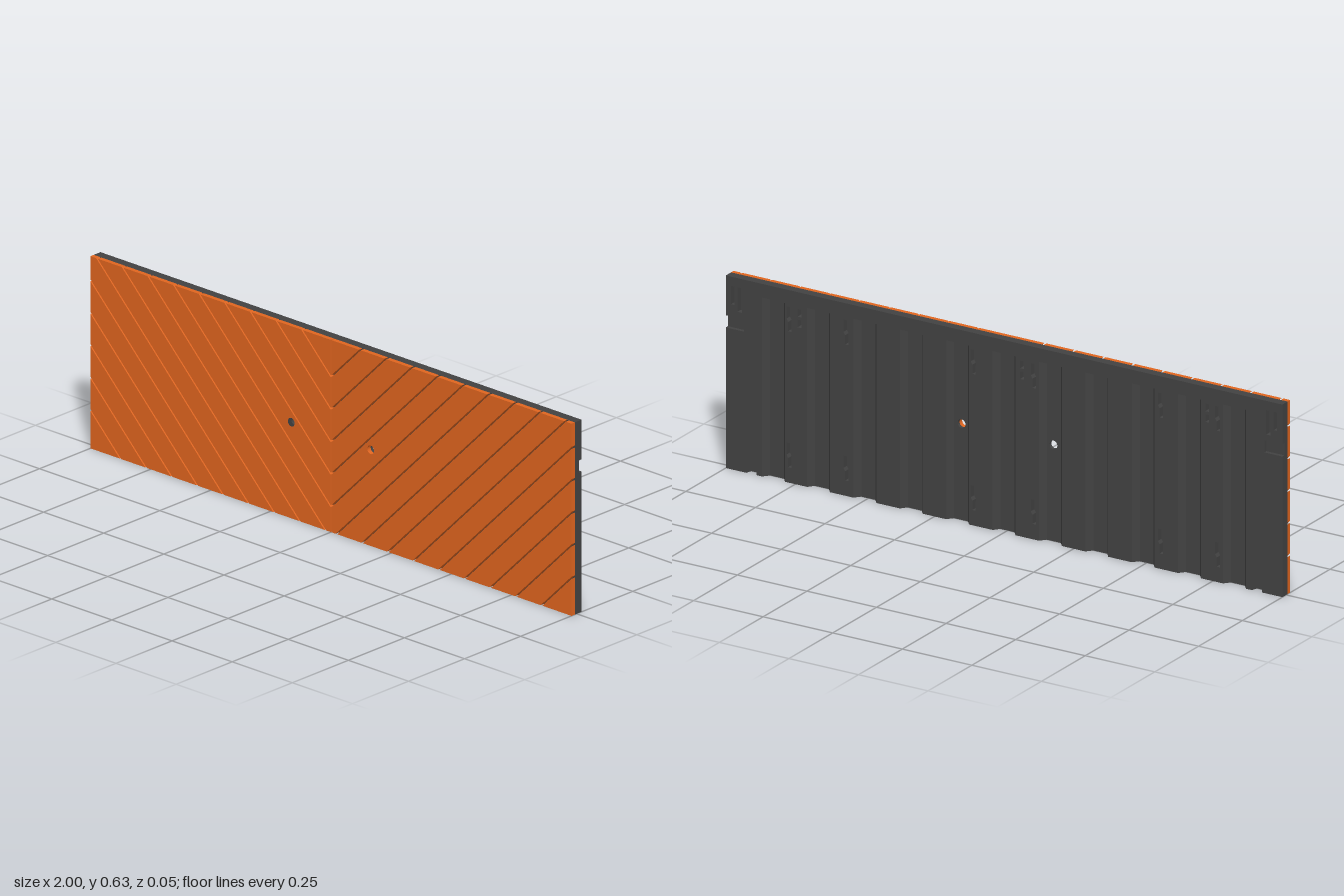
import * as THREE from 'three';

const H = 0.63, Z_FRONT = 0.023, Z_MID = 0.008, Z_FLOOR = -0.002, Z_BACK = -0.022;
const BOLT = { x: 0.165, y: 0.315, r: 0.014 };

const orange = new THREE.MeshStandardMaterial({ color: 0xe0651f });
const dark = new THREE.MeshStandardMaterial({ color: 0x424242 });

const toShape = (pts) => new THREE.Shape(pts.map(([x, y]) => new THREE.Vector2(x, y)));
const toPath = (pts) => new THREE.Path(pts.map(([x, y]) => new THREE.Vector2(x, y)));
const rect = (x0, y0, x1, y1) => [[x0, y0], [x1, y0], [x1, y1], [x0, y1]];

function boltHole(side) {
  return new THREE.Path().absarc(side * BOLT.x, BOLT.y, BOLT.r, 0, Math.PI * 2, true);
}

// Extrudes an xy shape between two z levels
function slab(name, shape, z0, z1, material) {
  const geo = new THREE.ExtrudeGeometry(shape, { depth: z1 - z0, bevelEnabled: false, curveSegments: 10 });
  geo.translate(0, 0, z0);
  const mesh = new THREE.Mesh(geo, material);
  mesh.name = name;
  return mesh;
}

// Keeps the part of a polygon where sign * (y - x - c) >= 0
function clip(pts, c, sign) {
  const d = ([x, y]) => sign * (y - x - c);
  const out = [];
  pts.forEach((a, i) => {
    const b = pts[(i + 1) % pts.length], da = d(a), db = d(b);
    if (da >= 0) out.push(a);
    if (da * db < 0) {
      const t = da / (da - db);
      out.push([a[0] + (b[0] - a[0]) * t, a[1] + (b[1] - a[1]) * t]);
    }
  });
  return out;
}

// Diagonal planks on each half, separated by narrow grooves
function frontPlanks() {
  const group = new THREE.Group();
  group.name = 'frontPlanks';
  const cuts = Array.from({ length: 14 }, (_, k) => -0.875 + 0.1065 * k);
  const gap = 0.0035;
  for (const side of [1, -1]) {
    for (let k = 0; k <= cuts.length; k++) {
      let pts = rect(0.0015, 0, 1, H);
      if (k > 0) pts = clip(pts, cuts[k - 1] + gap, 1);
      if (k < cuts.length) pts = clip(pts, cuts[k] - gap, -1);
      const shape = toShape(pts.map(([x, y]) => [x * side, y]));
      const c = BOLT.y - BOLT.x;
      if (k > 0 && k < cuts.length && c > cuts[k - 1] && c < cuts[k]) shape.holes.push(boltHole(side));
      group.add(slab('plank', shape, Z_MID, Z_FRONT, orange));
    }
  }
  return group;
}

// Vertical channels in the back, open at the bottom edge
const channels = [];
for (let k = -5; k <= 5; k++) {
  channels.push({ x: Math.abs(k) === 5 ? Math.sign(k) * 0.828 : k / 6, w: 0.041, top: 0.585, slope: 0.016 });
}
for (const s of [-1, 1]) channels.push({ x: s * 0.908, w: 0.018, top: 0.54, slope: 0.006 });
channels.sort((a, b) => a.x - b.x);

// Hanging slot: wide at the top, narrow below
const keySlot = (x, y) => toPath([
  [x - 0.012, y + 0.08], [x - 0.012, y + 0.04], [x - 0.006, y + 0.03], [x - 0.006, y],
  [x + 0.006, y], [x + 0.006, y + 0.03], [x + 0.012, y + 0.04], [x + 0.012, y + 0.08],
]);

function raisedBack() {
  const pts = [[-1, 0]];
  for (const { x, w, top } of channels) pts.push([x - w, 0], [x - w, top], [x + w, top], [x + w, 0]);
  pts.push([1, 0], [1, 0.46], [0.935, 0.46], [0.935, 0.5], [1, 0.5], [1, H]);
  pts.push([-1, H], [-1, 0.5], [-0.935, 0.5], [-0.935, 0.46], [-1, 0.46]);
  const shape = toShape(pts);
  for (const s of [-1, 1]) {
    for (const x of [0.77, 0.565, 0.108]) {
      for (const y of [0.05, 0.495]) shape.holes.push(keySlot(s * x, y));
    }
    // Corner slots
    shape.holes.push(toPath(rect(s * 0.95 - 0.008, 0.52, s * 0.95 + 0.008, 0.6)));
    shape.holes.push(toPath(rect(s * 0.975 - 0.006, 0.54, s * 0.975 + 0.006, 0.6)));
  }
  // Small paired sockets
  for (const x of [0.735, -0.065, -0.73]) {
    for (const y of [0.515, 0.55]) shape.holes.push(toPath(rect(x - 0.007, y, x + 0.007, y + 0.025)));
  }
  return slab('raisedBack', shape, Z_BACK, Z_FLOOR, dark);
}

// Sloped side walls of the channels
function channelSlopes() {
  const group = new THREE.Group();
  group.name = 'channelSlopes';
  for (const { x, w, top, slope } of channels) {
    for (const s of [-1, 1]) {
      const section = toShape([[x + s * w, -Z_FLOOR], [x + s * (w - slope), -Z_FLOOR], [x + s * w, -Z_BACK]]);
      const geo = new THREE.ExtrudeGeometry(section, { depth: top, bevelEnabled: false });
      geo.rotateX(-Math.PI / 2);
      const mesh = new THREE.Mesh(geo, dark);
      mesh.name = 'channelSlope';
      group.add(mesh);
    }
  }
  return group;
}

export function createModel() {
  const model = new THREE.Group();
  model.name = 'wallPanel';

  const core = toShape(rect(-1, 0, 1, H));
  core.holes.push(boltHole(1), boltHole(-1));
  model.add(frontPlanks(), slab('backingPlate', core, Z_FLOOR, Z_MID, dark), raisedBack(), channelSlopes());

  // Shallow floors of the end notches
  for (const s of [-1, 1]) {
    model.add(slab('notchFloor', toShape(rect(s * 0.9675 - 0.0325, 0.46, s * 0.9675 + 0.0325, 0.5)), -0.01, Z_FLOOR, dark));
  }
  return model;
}
